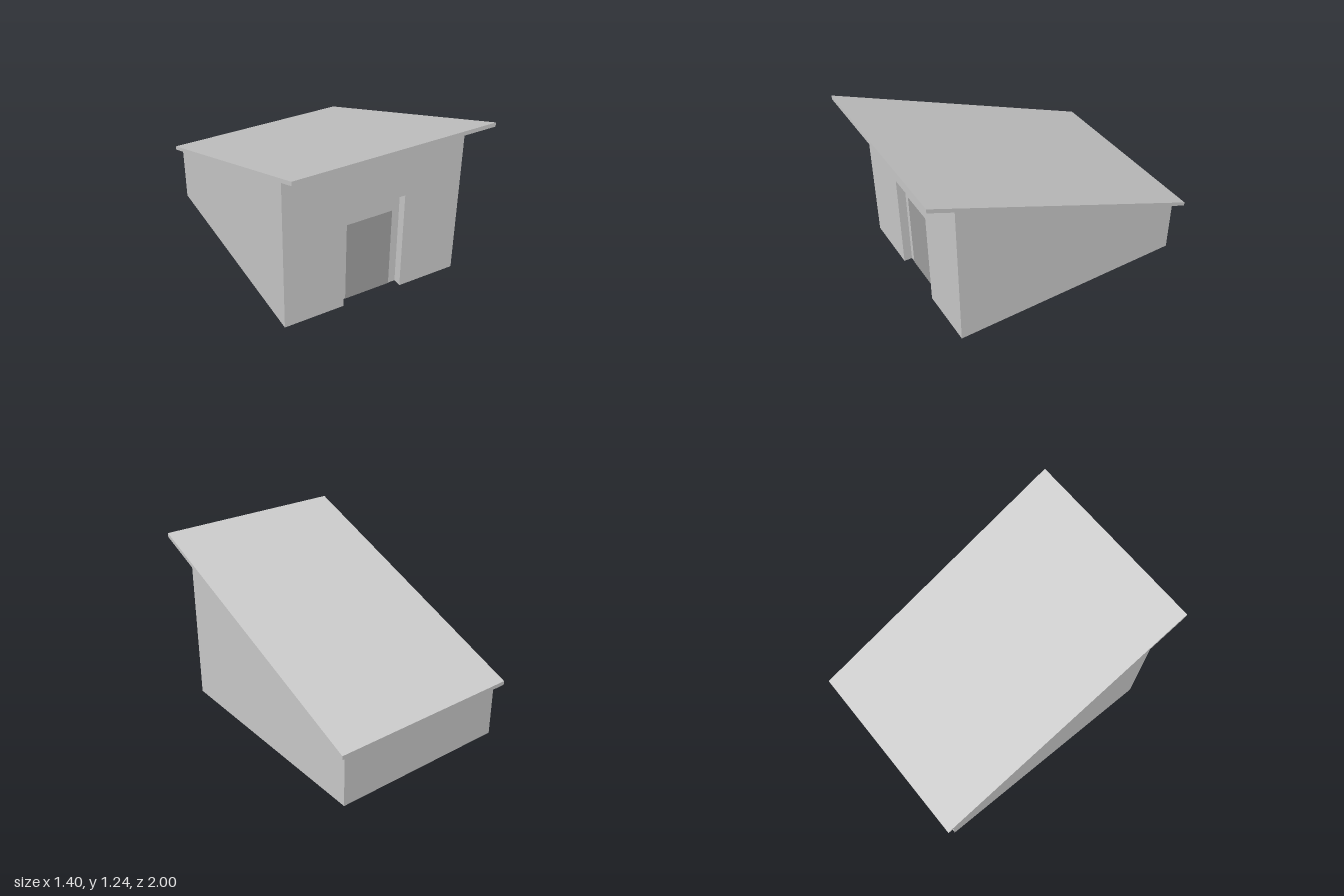
import * as THREE from 'three';

// Main dimensions
const LEFT = 0.64, RIGHT = -0.667, FRONT = 0.795, BACK = -0.943;
const DOORWAY = { x0: -0.233, x1: 0.208, top: 0.737, depth: 0.06 };
const roofUnder = (z) => 0.806 + 0.4 * z;
const ROOF_THICK = 0.029;

const polygon = (points) => new THREE.Shape(points.map(([x, y]) => new THREE.Vector2(x, y)));

export function createModel() {
  const model = new THREE.Group();
  const wallGrey = new THREE.MeshStandardMaterial({ color: 0xcccccc, side: THREE.DoubleSide });
  wallGrey.name = 'light grey';
  const doorGrey = new THREE.MeshStandardMaterial({ color: 0xa1a1a1, side: THREE.DoubleSide });
  doorGrey.name = 'door grey';

  const add = (name, geometry, material, x = 0, y = 0, z = 0, turn = 0) => {
    const mesh = new THREE.Mesh(geometry, material);
    mesh.name = name;
    mesh.position.set(x, y, z);
    mesh.rotation.y = turn;
    model.add(mesh);
    return mesh;
  };

  // Front wall with the doorway notched out
  const { x0, x1, top, depth } = DOORWAY;
  const frontTop = roofUnder(FRONT), backTop = roofUnder(BACK);
  add('frontWall', new THREE.ShapeGeometry(polygon([
    [RIGHT, 0], [x0, 0], [x0, top], [x1, top], [x1, 0], [LEFT, 0], [LEFT, frontTop], [RIGHT, frontTop],
  ])), wallGrey, 0, 0, FRONT);

  // Back wall
  add('backWall', new THREE.PlaneGeometry(LEFT - RIGHT, backTop), wallGrey,
    (LEFT + RIGHT) / 2, backTop / 2, BACK, Math.PI);

  // Side walls follow the roof slope (profile drawn along -z, then turned)
  const side = polygon([[-FRONT, 0], [-BACK, 0], [-BACK, backTop], [-FRONT, frontTop]]);
  add('leftWall', new THREE.ShapeGeometry(side), wallGrey, LEFT, 0, 0, Math.PI / 2);
  add('rightWall', new THREE.ShapeGeometry(side), wallGrey, RIGHT, 0, 0, Math.PI / 2);

  // Doorway recess: jambs, ceiling and back panel
  const midX = (x0 + x1) / 2, midZ = FRONT - depth / 2;
  for (const [name, x, turn] of [['rightJamb', x0, Math.PI / 2], ['leftJamb', x1, -Math.PI / 2]]) {
    add(name, new THREE.PlaneGeometry(depth, top), wallGrey, x, top / 2, midZ, turn);
  }
  const ceiling = new THREE.PlaneGeometry(x1 - x0, depth).rotateX(Math.PI / 2);
  add('doorwayCeiling', ceiling, wallGrey, midX, top, midZ);
  add('doorwayPanel', new THREE.PlaneGeometry(x1 - x0, top), wallGrey, midX, top / 2, FRONT - depth);

  // Door leaf
  add('door', new THREE.PlaneGeometry(0.34, 0.603), doorGrey, -0.017, 0.3015, FRONT - depth + 0.003);

  // Sloping roof slab with plumb-cut ends
  const slab = polygon([
    [-1, roofUnder(1)], [1, roofUnder(-1)],
    [1, roofUnder(-1) + ROOF_THICK], [-1, roofUnder(1) + ROOF_THICK],
  ]);
  add('roof', new THREE.ExtrudeGeometry(slab, { depth: 1.404, bevelEnabled: false }), wallGrey,
    -0.702, 0, 0, Math.PI / 2);

  return model;
}
